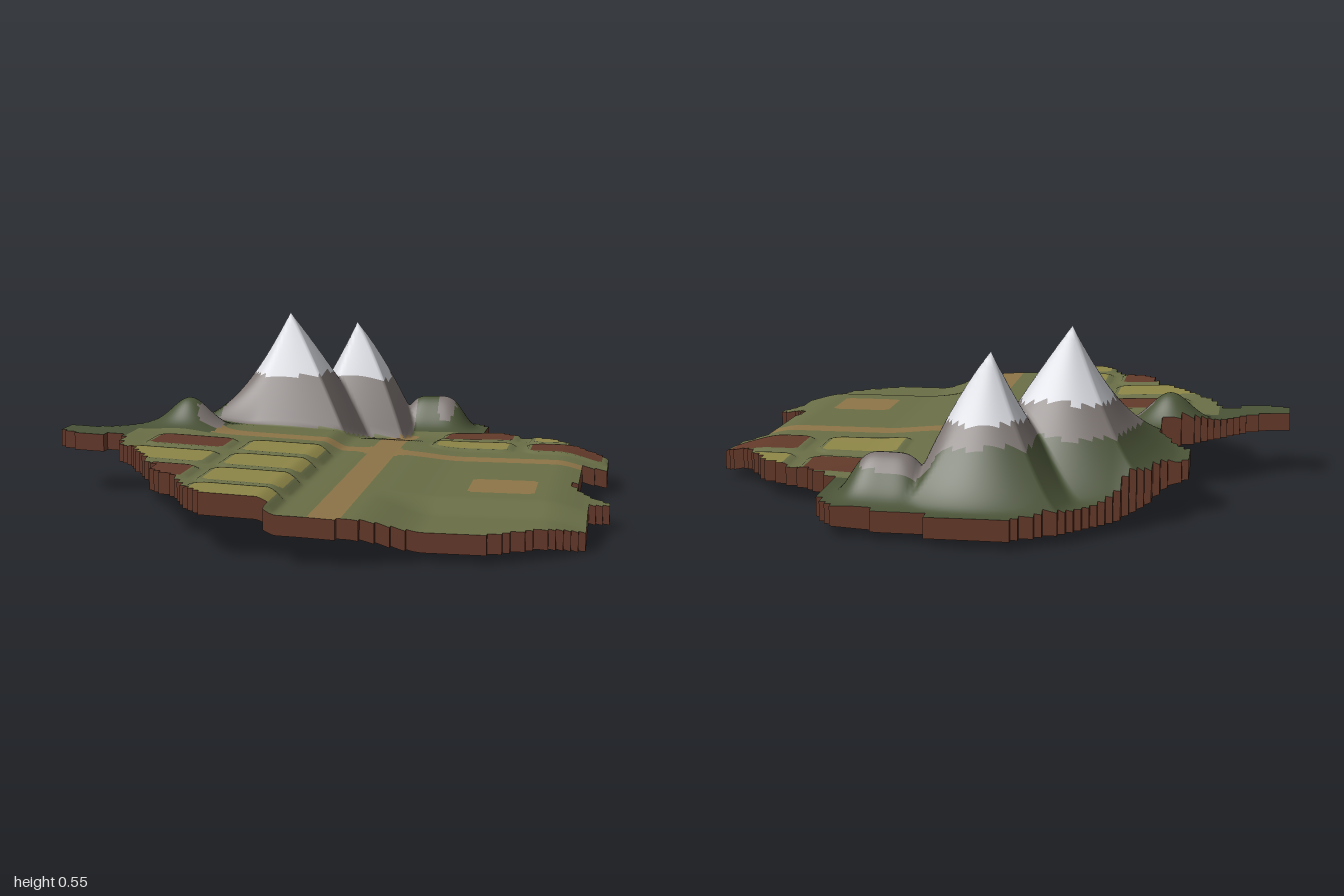
import * as THREE from 'three';

const STEP = 0.01, N = 100, THICK = 0.057;
const mat = (name, color) => Object.assign(new THREE.MeshStandardMaterial({ color }), { name });
const materials = {
  grass: mat('meadow green', 0x6a6f47),
  hillGrass: mat('dark hill green', 0x4a5337),
  road: mat('dirt tan', 0x8e7548),
  crop: mat('crop yellow', 0x8f8748),
  ploughed: mat('ploughed brown', 0x633a2a),
  rock: mat('rock grey', 0x7c7471),
  snow: mat('snow', 0xd4d6dc),
  soil: mat('soil brown', 0x6a3c2c),
  underside: mat('dark earth', 0x503225),
};

// Coast as x, z pairs
const coast = [
  [-0.12, -1.01], [0.09, -1.01], [0.1, -0.97], [0.26, -0.95], [0.38, -0.93], [0.42, -0.86], [0.44, -0.65],
  [0.55, -0.58], [0.7, -0.5], [0.78, -0.38], [0.88, -0.3], [0.89, -0.12], [0.81, -0.1], [0.81, 0.2],
  [0.79, 0.25], [0.83, 0.33], [0.91, 0.39], [0.91, 0.42], [0.85, 0.48], [0.85, 0.68], [0.77, 0.78],
  [0.67, 0.84], [0.58, 0.9], [0.42, 0.89], [0.36, 0.92], [0.2, 0.99], [0.2, 1.01], [0, 1.01], [0, 0.95],
  [-0.2, 0.94], [-0.27, 0.86], [-0.33, 0.75], [-0.42, 0.68], [-0.44, 0.6], [-0.5, 0.5], [-0.57, 0.38],
  [-0.65, 0.28], [-0.69, 0.12], [-0.74, 0.13], [-0.76, 0.17], [-0.85, 0.15], [-0.91, 0.11], [-0.91, 0.03],
  [-0.85, 0.03], [-0.75, -0.02], [-0.68, -0.09], [-0.6, -0.18], [-0.52, -0.2], [-0.5, -0.3], [-0.54, -0.35],
  [-0.6, -0.42], [-0.6, -0.52], [-0.54, -0.55], [-0.5, -0.65], [-0.4, -0.78], [-0.25, -0.92],
];

// Fields: x0, x1, z0, z1, crop
const fields = [
  [-0.25, -0.01, 0.1, 0.28, 'crop'], [-0.25, -0.01, 0.34, 0.52, 'crop'],
  [-0.25, -0.01, 0.58, 0.76, 'crop'], [-0.25, -0.01, 0.81, 0.99, 'crop'],
  [-0.56, -0.32, 0.1, 0.26, 'ploughed'], [-0.6, -0.32, 0.34, 0.51, 'crop'], [-0.56, -0.32, 0.58, 0.74, 'ploughed'],
  [0.31, 0.55, -0.61, -0.45, 'ploughed'], [0.63, 0.87, -0.61, -0.43, 'crop'],
  [0.31, 0.55, -0.37, -0.21, 'crop'], [0.63, 0.87, -0.37, -0.21, 'ploughed'],
];
const yard = [0.49, 0.69, 0.28, 0.48];

// Bare rock outcrops: x, z, half width, half depth
const outcrops = [[0.2, -0.82, 0.11, 0.03], [0.28, -0.765, 0.035, 0.07], [-0.45, -0.095, 0.045, 0.05]];

const smooth = (a, b, t) => {
  const s = Math.min(1, Math.max(0, (t - a) / (b - a)));
  return s * s * (3 - 2 * s);
};
const mix = (a, b, t) => a + (b - a) * t;
const softMax = (a, b, k) => {
  const h = Math.max(k - Math.abs(a - b), 0) / k;
  return Math.max(a, b) + h * h * k / 4;
};

// Signed distance to a rectangle with rounded corners
function rectDistance(x, z, [x0, x1, z0, z1], r = 0.03) {
  const dx = Math.abs(x - (x0 + x1) / 2) - (x1 - x0) / 2 + r;
  const dz = Math.abs(z - (z0 + z1) / 2) - (z1 - z0) / 2 + r;
  return Math.hypot(Math.max(dx, 0), Math.max(dz, 0)) + Math.min(Math.max(dx, dz), 0) - r;
}

function insideCoast(x, z) {
  let inside = false;
  coast.forEach(([ax, az], i) => {
    const [bx, bz] = coast[(i + 1) % coast.length];
    if ((az > z) !== (bz > z) && x < ax + (z - az) / (bz - az) * (bx - ax)) inside = !inside;
  });
  return inside;
}

// Land without hills: high west, middle terrace, low east, sinking to the back
function baseHeight(x, z) {
  let y = 0.165 - 0.04 * Math.min(0, x + 0.06);
  y -= 0.03 * smooth(-0.05, 0.03, x);
  y -= 0.008 * smooth(0.02, 0.28, x);
  const east = mix(0.113, 0.081, smooth(0.55, 0.69, z)) - 0.04 * smooth(0.72, 0.92, x);
  y = mix(y, east, smooth(0.22, 0.42, x));
  const back = mix(0.15, 0.088, smooth(-0.62, -0.4, x)) + 0.012 * smooth(0.2, 0.5, x);
  return mix(y, back, smooth(-0.2, -0.62, z)) - 0.008 * smooth(-0.6, -0.95, z);
}
const bottomHeight = (x, z) => Math.max(0, baseHeight(x, z) - THICK);

// Peaks with straight ridged fronts and hollow, rounded backs
const peaks = [
  { x: -0.26, z: -0.5, top: 0.548, a: 1.35, b: 0.6, reach: 0.34, snow: 0.335 },
  { x: -0.05, z: -0.7, top: 0.498, a: 1.25, b: 2.5, reach: 0.29, snow: 0.3 },
];
function peakAt(p, x, z) {
  const dx = x - p.x, dz = z - p.z, round = Math.hypot(dx, dz);
  const square = 0.8 * Math.max(Math.abs(dx), Math.abs(dz)) + 0.2 * round;
  const behind = smooth(0.3, 1, Math.max(-dx, -dz) / (square + 0.001));
  const base = baseHeight(x, z), d = mix(square, round, 0.4);
  const front = p.top - p.a * square - p.b * square * square;
  const back = base + (p.top - base) * Math.max(0, 1 - d / p.reach) ** 1.5;
  return { p, behind, y: mix(front, back, behind) };
}

function height(x, z) {
  let y = baseHeight(x, z);
  // West knoll and the flat-topped shoulder behind the peaks
  y += 0.1 * Math.exp(-(((x + 0.53) / 0.09) ** 2) - ((z + 0.12) / 0.08) ** 2);
  y += 0.13 * Math.exp(-(((x - 0.23) / 0.12) ** 4) - ((z + 0.79) / 0.09) ** 2);
  for (const f of fields) y += 0.008 * smooth(0.025, 0.008, rectDistance(x, z, f));
  for (const p of peaks) y = softMax(y, peakAt(p, x, z).y, 0.012);
  return y;
}

function onRoad(x, z) {
  if (x < -0.43 || z < -0.6) return false;
  const u = Math.abs(x - 0.155) - 0.045, v = Math.abs(z + 0.05) - 0.04, r = 0.05;
  if (u < 0 || v < 0) return true;
  return u < r && v < r && Math.hypot(r - u, r - v) > r;
}

function surface(x, z) {
  const [{ p, behind, y }] = peaks.map((q) => peakAt(q, x, z)).sort((m, n) => n.y - m.y);
  const wobble = 0.006 * Math.sin(x * 31 + z * 17);
  if (y > p.snow + wobble) return 'snow';
  if (y > 0.245 * behind + wobble && y > baseHeight(x, z) + 0.004) return 'rock';
  if (outcrops.some(([cx, cz, rx, rz]) => Math.hypot((x - cx) / rx, (z - cz) / rz) < 1)) return 'rock';
  if (x < -0.68 || (z < 0 && x < -0.43 - 0.24 * z) || z < -0.65 || (x < -0.12 && z < -0.55)) return 'hillGrass';
  for (const f of fields) if (rectDistance(x, z, f) < 0) return f[4];
  return onRoad(x, z) || rectDistance(x, z, yard) < 0 ? 'road' : 'grass';
}

function geometry(positions, index) {
  const g = new THREE.BufferGeometry();
  g.setAttribute('position', new THREE.Float32BufferAttribute(positions, 3));
  if (index) g.setIndex(index);
  g.computeVertexNormals();
  return g;
}

export function createModel() {
  const group = new THREE.Group();
  const add = (name, geo, material) => {
    const mesh = new THREE.Mesh(geo, material);
    mesh.name = name;
    group.add(mesh);
  };

  // The coast steps in blocks two cells wide
  const blocks = new Map();
  const land = (i, j) => {
    const bi = Math.floor((i + 1) / 2), bj = Math.floor(j / 2), key = bi * 1000 + bj;
    if (!blocks.has(key)) blocks.set(key, insideCoast(2 * bi * STEP, (2 * bj + 1) * STEP));
    return Math.abs(bj + 0.5) < N / 2 && blocks.get(key);
  };

  const top = [], all = [], walls = [], under = [], ids = new Map(), faces = {};
  const low = (i, j) => [i * STEP, bottomHeight(i * STEP, j * STEP), j * STEP];
  const high = (i, j) => [i * STEP, height(i * STEP, j * STEP), j * STEP];
  const vertex = (i, j) => {
    const key = i * 1000 + j;
    if (!ids.has(key)) {
      ids.set(key, top.length / 3);
      top.push(...high(i, j));
    }
    return ids.get(key);
  };
  const wall = (p, q) => {
    const a = low(...p), b = low(...q), c = high(...q), d = high(...p);
    walls.push(...a, ...b, ...c, ...a, ...c, ...d);
  };

  for (let i = -N; i < N; i++) for (let j = -N; j < N; j++) {
    if (!land(i, j)) continue;
    const a = vertex(i, j), b = vertex(i + 1, j), c = vertex(i + 1, j + 1), d = vertex(i, j + 1);
    const quad = [a, d, c, a, c, b];
    all.push(...quad);
    (faces[surface((i + 0.5) * STEP, (j + 0.5) * STEP)] ??= []).push(...quad);
    // Cliff faces where the land ends
    if (!land(i, j + 1)) wall([i, j + 1], [i + 1, j + 1]);
    if (!land(i + 1, j)) wall([i + 1, j + 1], [i + 1, j]);
    if (!land(i, j - 1)) wall([i + 1, j], [i, j]);
    if (!land(i - 1, j)) wall([i, j], [i, j + 1]);
    // Underside, one face pair per block
    if (i % 2 !== 0 && j % 2 === 0) {
      const e = low(i, j), f = low(i + 2, j), g = low(i + 2, j + 2), h = low(i, j + 2);
      under.push(...e, ...f, ...g, ...e, ...g, ...h);
    }
  }

  // Ground covers share one smooth surface
  const ground = geometry(top, all);
  for (const [name, index] of Object.entries(faces)) {
    const g = new THREE.BufferGeometry();
    g.setAttribute('position', ground.attributes.position);
    g.setAttribute('normal', ground.attributes.normal);
    g.setIndex(index);
    add(name, g, materials[name]);
  }
  add('cliffEdge', geometry(walls), materials.soil);
  add('underside', geometry(under), materials.underside);
  return group;
}
